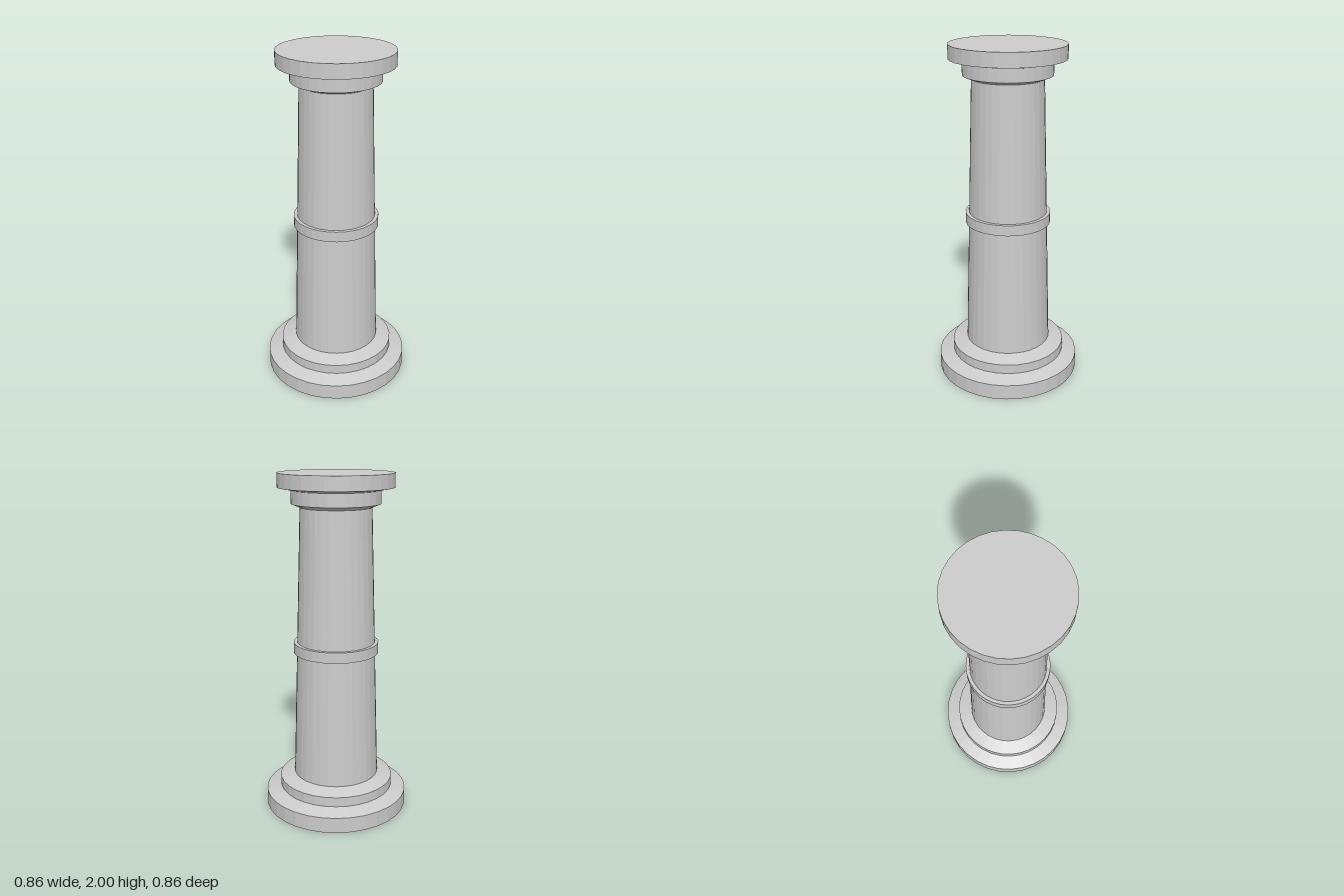
import * as THREE from 'three';

const SIDES = 32;
const material = new THREE.MeshStandardMaterial({ color: 0xcccccc, flatShading: true });

// Turned part from a bottom-to-top profile of [radius, height]
function turned(name, profile) {
  const points = profile.map(([r, y]) => new THREE.Vector2(r, y));
  const mesh = new THREE.Mesh(new THREE.LatheGeometry(points, SIDES), material);
  mesh.name = name;
  return mesh;
}

export function createModel() {
  const column = new THREE.Group();
  column.name = 'column';

  // Two-step plinth with sloped shoulders, open where the shaft stands
  column.add(turned('base', [
    [0, 0], [0.428, 0], [0.428, 0.093], [0.342, 0.12], [0.342, 0.178], [0.255, 0.204],
  ]));

  // Tapered shaft
  column.add(turned('shaft', [[0.255, 0.204], [0.205, 1.81]]));

  // Raised ring around the middle of the shaft
  column.add(turned('middleBand', [
    [0.225, 0.965], [0.25, 0.965], [0.25, 1.028], [0.225, 1.028],
  ]));

  // Capital: flared collar under a wide round slab
  column.add(turned('capital', [
    [0.205, 1.81], [0.255, 1.83], [0.255, 1.905], [0.331, 1.92], [0.331, 2], [0, 2],
  ]));

  return column;
}
